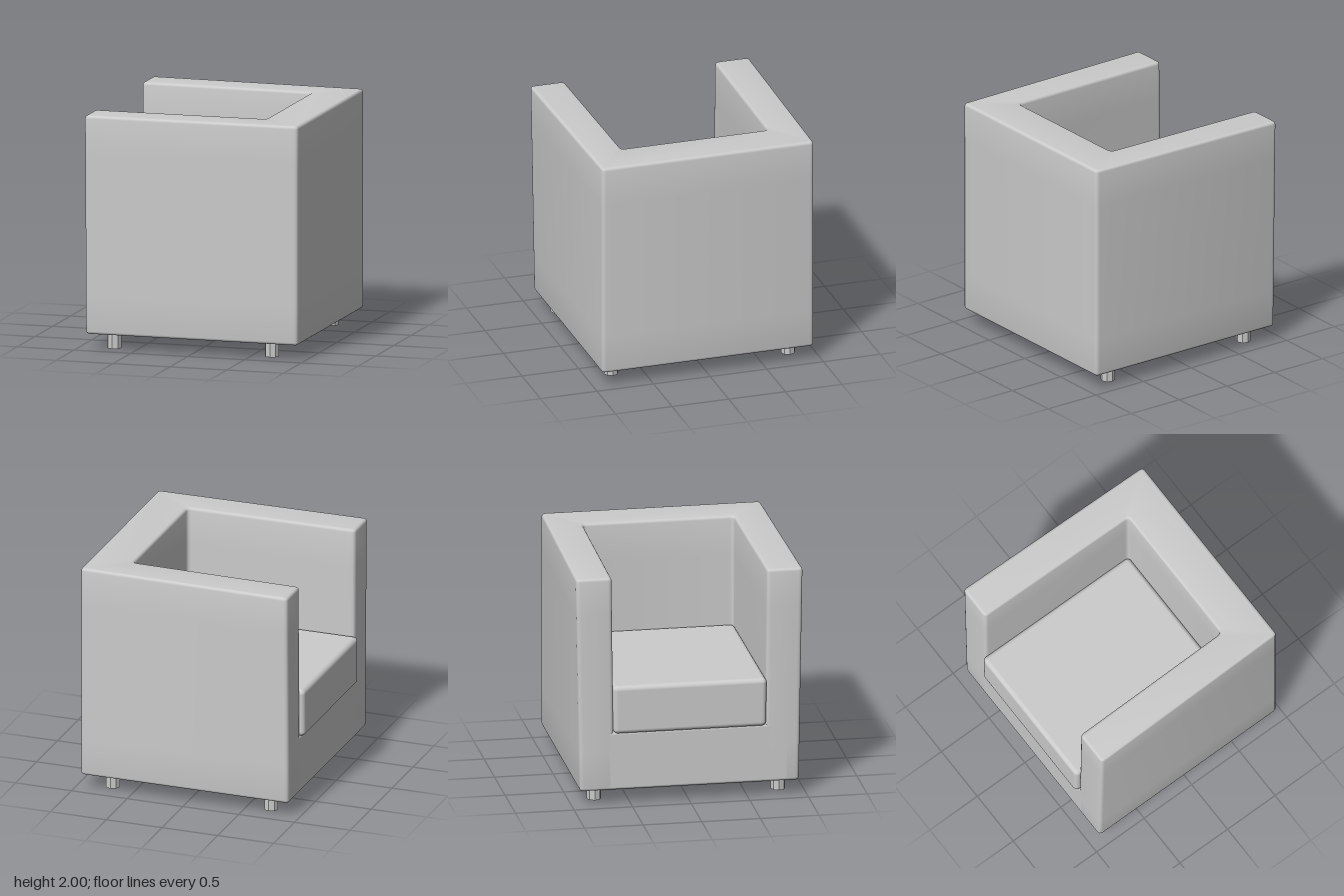
import * as THREE from 'three';
import { toCreasedNormals } from 'three/addons/utils/BufferGeometryUtils.js';
import { RoundedBoxGeometry } from 'three/addons/geometries/RoundedBoxGeometry.js';

const BOTTOM = 0.13, TOP = 2, OPEN_X = -0.92, BACK_X = 0.945, EDGE = 0.025;
const material = new THREE.MeshStandardMaterial({ color: 0xcccccc });

// The sides splay outward towards the open end and the top.
function splay(geometry) {
  const p = geometry.attributes.position;
  for (let i = 0; i < p.count; i++) {
    const open = (BACK_X - p.getX(i)) / (BACK_X - OPEN_X);
    const height = (p.getY(i) - BOTTOM) / (TOP - BOTTOM);
    p.setZ(i, p.getZ(i) * (1 + 0.035 * open * height));
  }
  return geometry;
}

// Closed outline with every corner rounded.
function roundedOutline(points, r) {
  const shape = new THREE.Shape();
  const pts = points.map(([x, y]) => new THREE.Vector2(x, y));
  const toward = (a, b) => b.clone().sub(a).setLength(r).add(a);
  pts.forEach((p, i) => {
    const a = toward(p, pts[(i + pts.length - 1) % pts.length]);
    const b = toward(p, pts[(i + 1) % pts.length]);
    if (i === 0) shape.moveTo(a.x, a.y);
    else shape.lineTo(a.x, a.y);
    shape.quadraticCurveTo(p.x, p.y, b.x, b.y);
  });
  shape.closePath();
  return shape;
}

function roundedBox(x0, x1, y0, y1, halfZ, r) {
  return new RoundedBoxGeometry(x1 - x0, y1 - y0, halfZ * 2, 4, r)
    .translate((x0 + x1) / 2, (y0 + y1) / 2, 0);
}

export function createModel() {
  const group = new THREE.Group();
  const add = (name, geometry) => {
    const mesh = new THREE.Mesh(geometry, material);
    mesh.name = name;
    group.add(mesh);
    return mesh;
  };

  // Arms and backrest: one U-shaped wall
  const outline = roundedOutline([
    [OPEN_X, -0.935], [BACK_X, -0.935], [BACK_X, 0.935], [OPEN_X, 0.935],
    [OPEN_X, 0.64], [0.575, 0.64], [0.575, -0.64], [OPEN_X, -0.64],
  ], 0.035);
  const wall = new THREE.ExtrudeGeometry(outline, {
    depth: TOP - BOTTOM - 2 * EDGE, steps: 6, curveSegments: 4,
    bevelThickness: EDGE, bevelSize: EDGE, bevelOffset: -EDGE, bevelSegments: 4,
  }).rotateX(-Math.PI / 2).translate(0, BOTTOM + EDGE, 0);
  add('armsAndBackrest', toCreasedNormals(splay(wall), 0.6));

  // Base under the cushion, flush with the arm ends
  add('seatBase', splay(roundedBox(OPEN_X, 0.9, BOTTOM, 0.64, 0.85, EDGE)));

  // Cushion, slightly proud of the arm ends
  add('seatCushion', splay(roundedBox(-0.955, 0.578, 0.63, 1.05, 0.645, 0.04)));

  // Legs
  const leg = new THREE.CylinderGeometry(0.062, 0.062, 0.2, 8);
  const legGeometry = toCreasedNormals(leg, 0.3);
  [[-0.71, 0.79], [-0.71, -0.78], [0.67, 0.77], [0.71, -0.78]].forEach(([x, z]) => {
    add('leg', legGeometry).position.set(x, 0.1, z);
  });

  return group;
}
